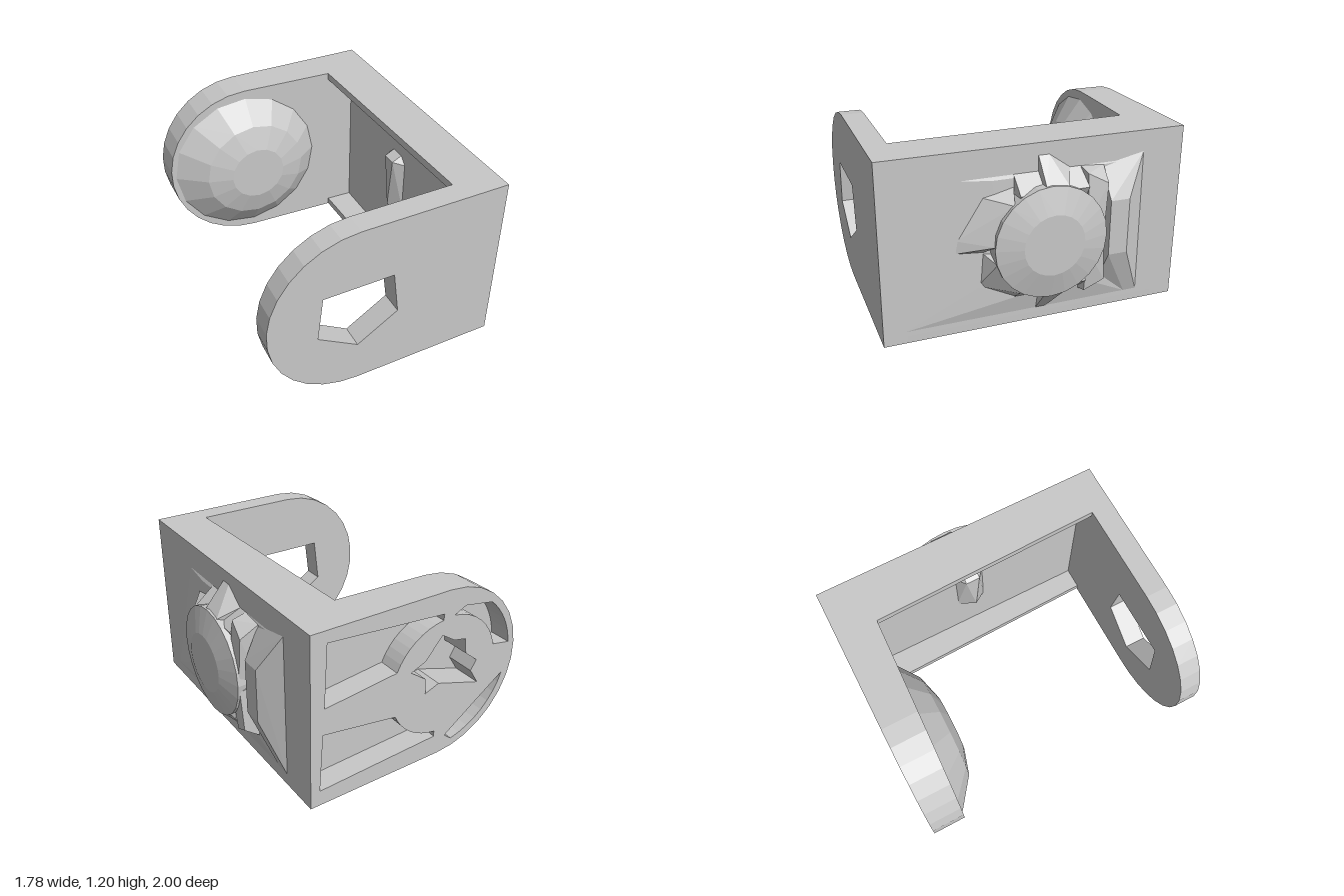
import * as THREE from 'three';
import { ConvexGeometry } from 'three/addons/geometries/ConvexGeometry.js';

const CX = -0.29, CY = 0.6; // centre of the rounded ends

export function createModel() {
  const model = new THREE.Group();
  model.name = 'bracket';
  const grey = new THREE.MeshStandardMaterial({ color: 0xc8c8c8, flatShading: true });
  grey.name = 'plain grey';

  const add = (name, geometry, parent = model) => {
    const mesh = new THREE.Mesh(geometry, grey);
    mesh.name = name;
    parent.add(mesh);
  };
  const vec = (pts) => pts.map(([x, y]) => new THREE.Vector2(x, y));
  const arc = (r, from, to, n = 8) => Array.from({ length: n + 1 }, (_, i) => {
    const a = THREE.MathUtils.degToRad(from + (to - from) * i / n);
    return [CX + r * Math.cos(a), CY + r * Math.sin(a)];
  });

  // Plate outline with one semicircular end
  const plate = (z, depth, xEnd, holes) => {
    const shape = new THREE.Shape(vec([...arc(0.6, 90, 270, 15), [xEnd, 0], [xEnd, 1.2]]));
    shape.holes = holes.map((h) => new THREE.Path(vec(h)));
    return new THREE.ExtrudeGeometry(shape, { depth, bevelEnabled: false }).translate(0, 0, z);
  };

  // Front plate with a five-sided hole
  const pentagon = [[-0.53, 0.785], [-0.06, 0.785], [-0.02, 0.475], [-0.295, 0.3], [-0.565, 0.475]];
  add('frontPlate', plate(0.85, 0.15, 0.7, [pentagon]));

  // Back plate: pocketed outer layer, then a floor whose inner face tapers
  const star = [[-0.02, 0.715], [-0.13, 0.76], [-0.25, 0.905], [-0.35, 0.84], [-0.445, 0.82],
    [-0.46, 0.71], [-0.56, 0.63], [-0.52, 0.56], [-0.59, 0.45], [-0.25, 0.56], [-0.146, 0.52], [-0.14, 0.63]];
  const pockets = [
    [[0.59, 1.12], [-0.25, 1.05], ...arc(0.41, 84, 22), [0.605, 0.695]],
    [[0.615, 0.515], ...arc(0.41, -24, -84), [-0.25, 0.15], [0.635, 0.11]],
    [...arc(0.55, 172, 130), [-0.42, 1.06], ...arc(0.42, 96, 166)],
    [...arc(0.54, 196, 258), [-0.343, 0.12], [-0.58, 0.29]],
  ];
  add('backPlate', plate(-1, 0.15, 0.7, [star, ...pockets]));
  const floor = plate(-0.85, 0.1, 0.56, [star]);
  const pos = floor.attributes.position;
  for (let i = 0; i < pos.count; i++) {
    if (pos.getZ(i) > -0.8) pos.setZ(i, -0.78 + 0.04 * (pos.getX(i) + 0.89));
  }
  add('pocketFloor', floor);

  // Side wall, hollowed on the inside between a tapered top and bottom lip
  const slab = (outline, y, height) => new THREE.ExtrudeGeometry(
    new THREE.Shape(vec(outline.map(([x, z]) => [x, -z]))), { depth: height, bevelEnabled: false },
  ).rotateX(-Math.PI / 2).translate(0, y, 0);
  const lip = [[0.7, -0.85], [0.36, -0.85], [0.36, -0.73], [0.4, 0.85], [0.7, 0.85]];
  add('bottomLip', slab(lip, 0, 0.05));
  add('topLip', slab(lip, 1.15, 0.05));
  add('sideWall', slab([[0.7, -0.85], [0.55, -0.85], [0.55, 0.85], [0.7, 0.85]], 0.05, 1.1));

  // Faceted dome inside the back plate
  const domeProfile = vec([[0, 0], [0.57, 0], [0.57, 0.02], [0.37, 0.17], [0.2, 0.22], [0, 0.22]]);
  add('innerDome', new THREE.LatheGeometry(domeProfile, 16).rotateX(Math.PI / 2).translate(CX, CY, -0.8));

  // Round boss on the outer side wall
  const emblem = new THREE.Group();
  emblem.name = 'sideBoss';
  model.add(emblem);
  const bossProfile = vec([[0, -0.01], [0.36, -0.01], [0.37, 0.145], [0.2, 0.19], [0, 0.19]]);
  add('bossDisc', new THREE.LatheGeometry(bossProfile, 24).rotateZ(-Math.PI / 2).translate(0.7, 0.6, -0.04), emblem);

  // Angular lugs around the boss, given as [z, y, height above the wall]
  const lug = (name, pts) => add(name,
    new ConvexGeometry(pts.map(([z, y, h]) => new THREE.Vector3(0.7 + h, y, z))), emblem);
  lug('shallowBase', [[0.86, 0.08, 0], [-0.64, 0.08, 0], [0.5, 1.02, 0], [-0.7, 1.02, 0], [0.39, 0.31, 0.02],
    [0.16, 0.2, 0.03], [-0.4, 0.2, 0.03], [0.3, 1, 0.01], [-0.2, 1, 0.01]]);
  lug('frontUpperLug', [[0.53, 0.64, 0], [0.37, 0.9, 0], [0.16, 0.95, 0], [0.16, 0.6, 0],
    [0.32, 0.62, 0.13], [0.2, 0.87, 0.13], [0.53, 0.56, 0.01], [0.36, 0.54, 0.01]]);
  lug('frontLowerLug', [[0.37, 0.54, 0], [0.39, 0.31, 0], [0.16, 0.19, 0], [0.16, 0.5, 0],
    [0.31, 0.5, 0.13], [0.16, 0.28, 0.13]]);
  for (const s of [-1, 1]) {
    const side = s < 0 ? 'lower' : 'upper';
    const y = (d) => 0.6 + s * d;
    lug(side + 'Point', [[0, y(0.52), 0], [-0.07, y(0.52), 0], [-0.21, y(0.42), 0], [0, y(0.42), 0],
      [0, y(0.36), 0.135], [-0.15, y(0.35), 0.135], [0, y(0.2), 0], [-0.2, y(0.2), 0]]);
    lug(side + 'Shoulder', [[0.16, y(0.42), 0], [-0.29, y(0.42), 0], [0.16, y(0.32), 0.12],
      [-0.29, y(0.32), 0.12], [0.16, y(0.1), 0], [-0.29, y(0.1), 0]]);
    lug(side + 'RearLug', [[-0.28, y(0.42), 0], [-0.44, y(0.41), 0], [-0.43, 0.6, 0], [-0.28, 0.6, 0],
      [-0.29, y(0.4), 0.1], [-0.42, y(0.33), 0.12], [-0.4, y(0.05), 0.13], [-0.29, y(0.1), 0.13]]);
  }
  lug('rearRidge', [[-0.72, 1.06, 0], [-0.73, 0.08, 0], [-0.64, 0.08, 0], [-0.43, 0.2, 0], [-0.43, 1, 0],
    [-0.58, 0.8, 0.11], [-0.58, 0.43, 0.11], [-0.45, 0.8, 0.11], [-0.45, 0.43, 0.11]]);

  // Small lug on the hollow side of the wall
  lug('innerLug', [[-0.12, 0.4, -0.14], [0.1, 0.4, -0.14], [-0.12, 0.82, -0.14], [0.1, 0.82, -0.14],
    [-0.06, 0.88, -0.14], [0.04, 0.88, -0.14], [-0.06, 0.84, -0.22], [0.04, 0.84, -0.22], [0, 0.45, -0.22]]);
  return model;
}
